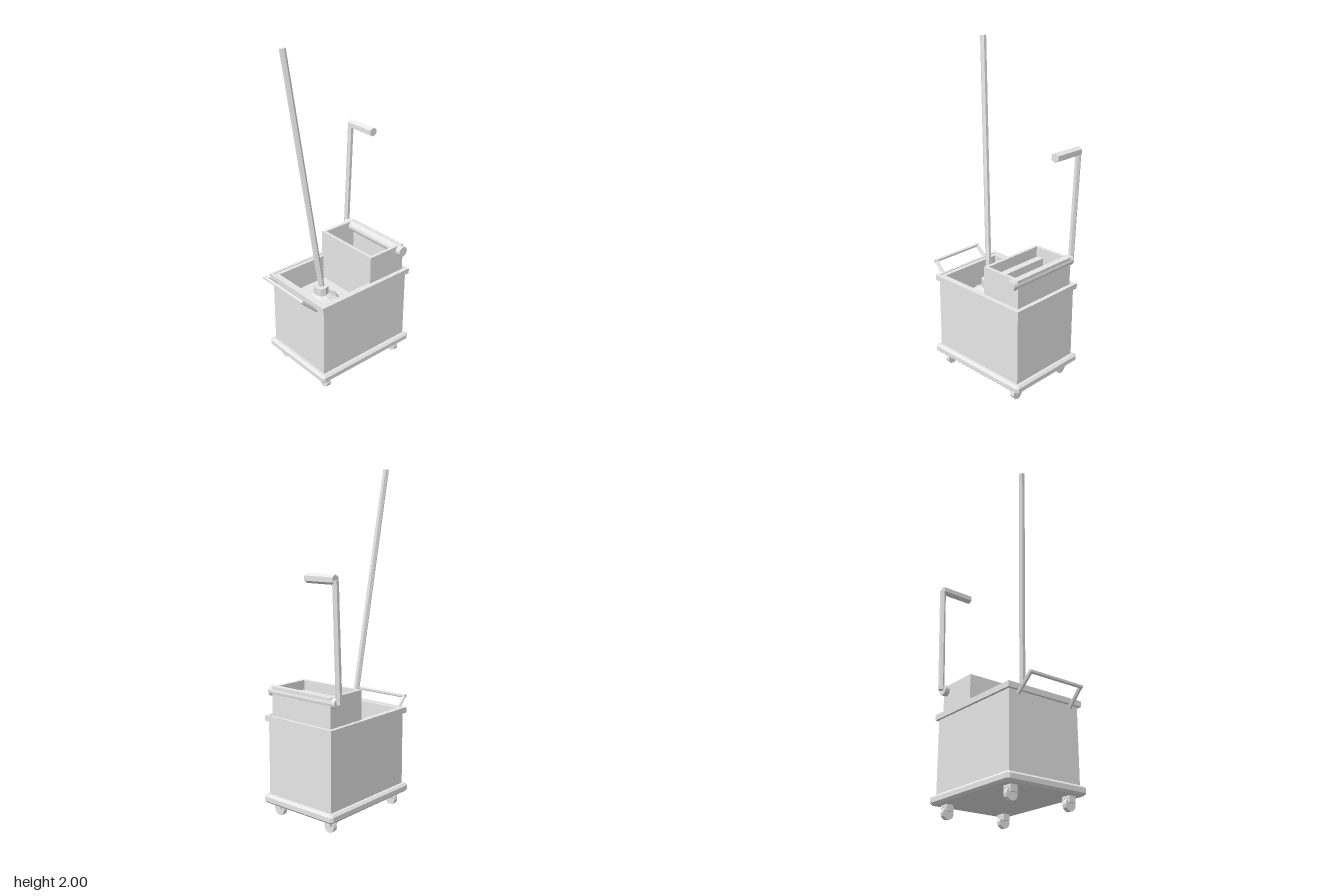
import * as THREE from 'three';

export function createModel() {
  const model = new THREE.Group();
  const grey = new THREE.MeshStandardMaterial({ color: 0xe7e7e7, flatShading: true });
  grey.name = 'light grey';

  const add = (name, geometry, x = 0, y = 0, z = 0, parent = model) => {
    const mesh = new THREE.Mesh(geometry, grey);
    mesh.name = name;
    mesh.position.set(x, y, z);
    parent.add(mesh);
    return mesh;
  };

  // Box given by its lower and upper corners
  const block = (name, x0, x1, y0, y1, z0, z1, parent = model) =>
    add(name, new THREE.BoxGeometry(x1 - x0, y1 - y0, z1 - z0),
      (x0 + x1) / 2, (y0 + y1) / 2, (z0 + z1) / 2, parent);

  // Straight round or faceted rod between two points
  const rod = (name, from, to, radius, sides, parent = model) => {
    const a = new THREE.Vector3(...from), b = new THREE.Vector3(...to);
    const mesh = add(name, new THREE.CylinderGeometry(radius, radius, a.distanceTo(b), sides), 0, 0, 0, parent);
    mesh.position.copy(a).lerp(b, 0.5);
    mesh.quaternion.setFromUnitVectors(new THREE.Vector3(0, 1, 0), b.sub(a).normalize());
    return mesh;
  };

  // Counter-clockwise plan outlines: a rectangle, and one with cut corners
  const toPoints = list => list.map(([x, z]) => new THREE.Vector2(x, -z));
  const rect = (x0, x1, z0, z1) => toPoints([[x0, z1], [x1, z1], [x1, z0], [x0, z0]]);
  const cutRect = (x0, x1, z0, z1, c) => toPoints([
    [x0 + c, z1], [x1 - c, z1], [x1, z1 - c], [x1, z0 + c],
    [x1 - c, z0], [x0 + c, z0], [x0, z0 + c], [x0, z1 - c]]);

  // Upright rectangular frame with the given wall thickness
  const frame = (name, x0, x1, y0, y1, z0, z1, t) => {
    const shape = new THREE.Shape(rect(x0, x1, z0, z1));
    shape.holes.push(new THREE.Path(rect(x0 + t, x1 - t, z0 + t, z1 - t)));
    const geometry = new THREE.ExtrudeGeometry(shape, { depth: y1 - y0, bevelEnabled: false });
    geometry.rotateX(-Math.PI / 2);
    return add(name, geometry, 0, y0, 0);
  };

  // Chamfered base plate
  const b = 0.013;
  const base = new THREE.ExtrudeGeometry(
    new THREE.Shape(cutRect(-0.312 + b, 0.395 - b, -0.264 + b, 0.268 - b, 0.006)),
    { depth: 0.053 - 2 * b, bevelEnabled: true, bevelThickness: b, bevelSize: b, bevelSegments: 1 });
  base.rotateX(-Math.PI / 2);
  add('basePlate', base, 0, 0.08 + b, 0);

  // Bucket walls, rim band and contents
  frame('bucketWalls', -0.284, 0.367, 0.13, 0.602, -0.235, 0.24, 0.027);
  frame('bucketRim', -0.301, 0.382, 0.573, 0.606, -0.251, 0.256, 0.018);
  block('waterSurface', -0.26, 0.342, 0.13, 0.44, -0.21, 0.215);

  // Casters
  for (const x of [-0.24, 0.32]) {
    for (const z of [-0.19, 0.198]) {
      const caster = new THREE.Group();
      caster.name = 'caster';
      caster.position.set(x, 0, z);
      model.add(caster);
      block('forkTop', -0.028, 0.028, 0.065, 0.085, -0.022, 0.022, caster);
      for (const s of [-1, 1]) add('forkSide', new THREE.BoxGeometry(0.01, 0.03, 0.044), s * 0.023, 0.058, 0, caster);
      rod('wheel', [-0.0135, 0.035, 0], [0.0135, 0.035, 0], 0.035, 12, caster);
      rod('axle', [-0.026, 0.048, 0], [0.026, 0.048, 0], 0.005, 8, caster);
    }
  }

  // Wringer box with press plate and roller
  frame('wringerWalls', 0.087, 0.352, 0.45, 0.775, -0.219, 0.225, 0.02);
  block('wringerFloor', 0.09, 0.35, 0.45, 0.5, -0.21, 0.215);
  block('pressPlate', 0.123, 0.166, 0.49, 0.72, -0.19, 0.196);
  rod('roller', [0.323, 0.744, -0.25], [0.323, 0.744, 0.257], 0.032, 16);

  // Six-sided wringer lever and grip
  rod('leverArm', [0.325, 0.742, -0.257], [0.352, 1.408, -0.257], 0.018, 6).rotateY(Math.PI / 2);
  rod('leverGrip', [0.352, 1.411, -0.257], [0.352, 1.411, -0.057], 0.0275, 6);

  // Tipping handle
  for (const z of [-0.172, 0.175]) rod('handleArm', [-0.288, 0.555, z * 1.03], [-0.387, 0.647, z], 0.012, 6);
  rod('handleBar', [-0.387, 0.647, -0.181], [-0.387, 0.647, 0.185], 0.012, 6);

  // Mop head, collar and pole
  const profile = [[0.135, 0.44], [0.1, 0.482], [0.043, 0.51], [0.043, 0.56], [0, 0.56]]
    .map(([r, y]) => new THREE.Vector2(r, y));
  add('mopHead', new THREE.LatheGeometry(profile, 8), -0.106, 0, 0.002);
  rod('mopPole', [-0.099, 0.52, 0.004], [-0.255, 2, -0.115], 0.018, 6);

  return model;
}
